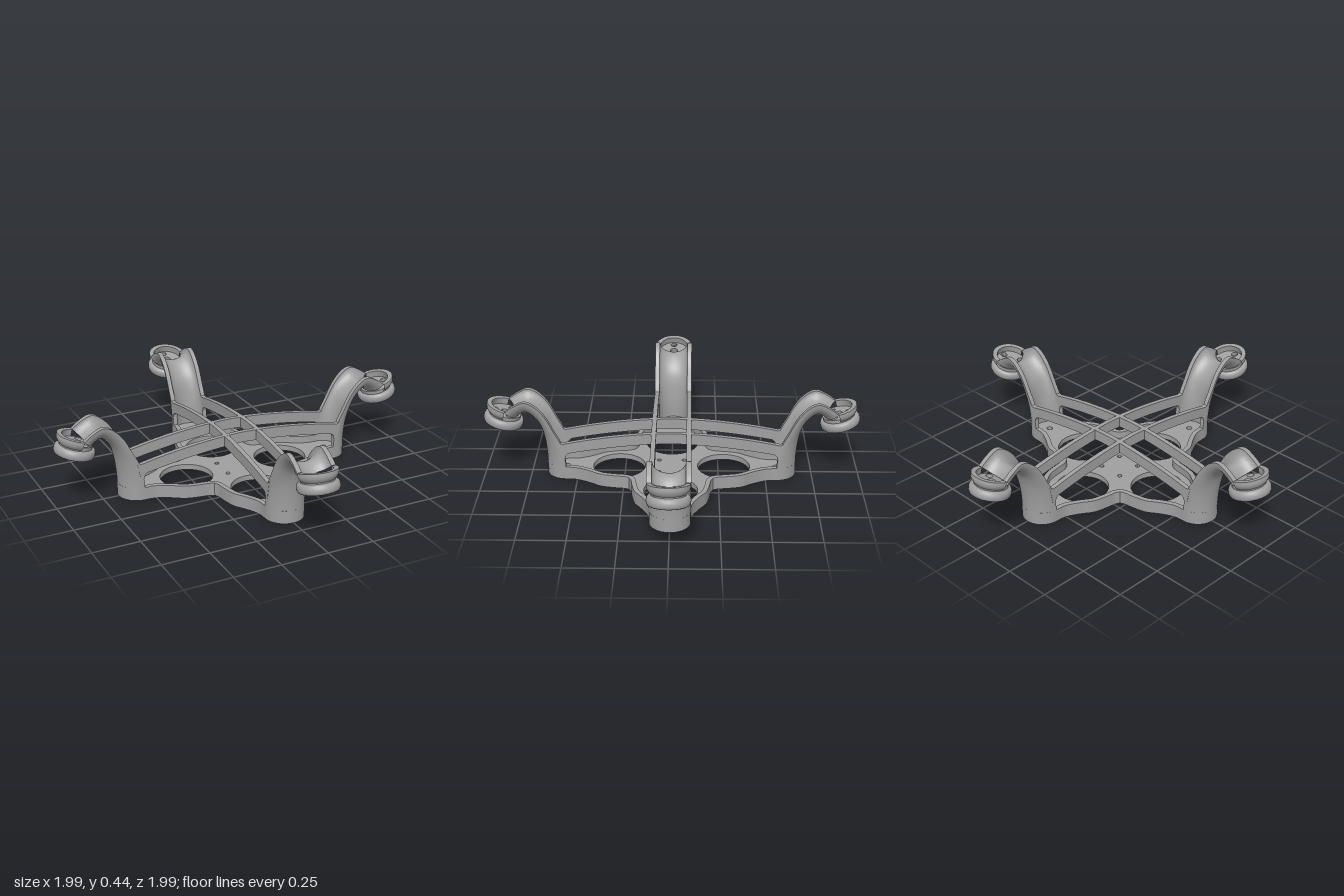
import * as THREE from 'three';
import { toCreasedNormals } from 'three/addons/utils/BufferGeometryUtils.js';

const grey = new THREE.MeshStandardMaterial({ color: 0xa0a0a0 });
grey.name = 'grey plastic';

const V2 = (x, y) => new THREE.Vector2(x, y);

function part(name, geometry, parent) {
  const mesh = new THREE.Mesh(toCreasedNormals(geometry, 0.6), grey);
  mesh.name = name;
  parent.add(mesh);
  return mesh;
}

function circleHole(x, y, r) {
  return new THREE.Path().absarc(x, y, r, 0, Math.PI * 2, true);
}

// Flat slab lying in the xz plane, growing upward from y = 0
function slab(shape, depth) {
  return new THREE.ExtrudeGeometry(shape, { depth, bevelEnabled: false, curveSegments: 40 }).rotateX(-Math.PI / 2);
}

// Four-lobed outline of the base, optionally moved inward
function baseOutline(inset) {
  const half = [];
  for (let i = 0; i <= 8; i++) {
    const a = (i / 8) * Math.PI / 2;
    half.push(V2(0.56 + 0.105 * Math.cos(a), 0.105 * Math.sin(a)));
  }
  const flank = new THREE.SplineCurve([V2(0.56, 0.105), V2(0.5, 0.111), V2(0.43, 0.145), V2(0.37, 0.183),
    V2(0.3, 0.2), V2(0.245, 0.208), V2(0.219, 0.219)]);
  half.push(...flank.getPoints(24).slice(1));
  const mirrored = half.slice(1, -1).reverse().map((p) => V2(p.y, p.x));
  const quarter = [...half, ...mirrored];
  const all = [];
  for (let k = 0; k < 4; k++) {
    quarter.forEach((p) => all.push(p.clone().rotateAround(V2(0, 0), k * Math.PI / 2)));
  }
  return all.map((p, i) => {
    const before = all[(i + all.length - 1) % all.length];
    const after = all[(i + 1) % all.length];
    const t = after.clone().sub(before).normalize();
    return V2(p.x - t.y * inset, p.y + t.x * inset);
  });
}

function buildBase(root) {
  const floor = new THREE.Shape(baseOutline(0.002));
  const rim = new THREE.Shape(baseOutline(0));
  rim.holes.push(new THREE.Path(baseOutline(0.025)));
  for (let k = 0; k < 4; k++) {
    const c = Math.round(Math.cos(k * Math.PI / 2));
    const s = Math.round(Math.sin(k * Math.PI / 2));
    floor.holes.push(circleHole(0.28 * c, 0.28 * s, 0.14));
    floor.holes.push(circleHole(0.56 * c, 0.56 * s, 0.016));
    floor.holes.push(circleHole(0.068 * (c - s), 0.068 * (c + s), 0.012));
  }
  part('basePlate', slab(floor, 0.03), root);
  part('baseRim', slab(rim, 0.07), root);
}

// U-shaped channel lofted along the arm: each section has a rail point and a belly point
function channelGeometry() {
  const sections = [
    [0.56, 0, 0.665, 0], [0.56, 0.1, 0.665, 0.1], [0.582, 0.2, 0.672, 0.18],
    [0.615, 0.267, 0.685, 0.25], [0.663, 0.358, 0.704, 0.298], [0.717, 0.417, 0.735, 0.335],
    [0.77, 0.438, 0.765, 0.354], [0.829, 0.412, 0.79, 0.347], [0.869, 0.383, 0.815, 0.325],
  ];
  const rails = new THREE.SplineCurve(sections.map((s) => V2(s[0], s[1])));
  const bellies = new THREE.SplineCurve(sections.map((s) => V2(s[2], s[3])));
  const rows = 48, arc = 20, ring = 2 * (arc + 1);
  const positions = [], index = [];
  for (let i = 0; i <= rows; i++) {
    const rail = rails.getPoint(i / rows);
    const dir = bellies.getPoint(i / rows).sub(rail);
    const depth = dir.length();
    dir.normalize();
    const add = (t, radius, d) => positions.push(
      rail.x + dir.x * d * Math.sin(t), rail.y + dir.y * d * Math.sin(t), radius * Math.cos(t));
    for (let j = 0; j <= arc; j++) add(j / arc * Math.PI, 0.105, depth);
    for (let j = arc; j >= 0; j--) add(j / arc * Math.PI, 0.08, depth - 0.025);
  }
  for (let i = 0; i < rows; i++) {
    for (let j = 0; j < ring; j++) {
      const a = i * ring + j, b = i * ring + (j + 1) % ring;
      index.push(a, b, a + ring, b, b + ring, a + ring);
    }
  }
  const g = new THREE.BufferGeometry();
  g.setAttribute('position', new THREE.Float32BufferAttribute(positions, 3));
  g.setIndex(index);
  return g;
}

// Half of an arched top beam, from the centre to the arm
function beamGeometry() {
  const s = new THREE.Shape();
  s.moveTo(0, 0.212);
  s.quadraticCurveTo(0.25, 0.205, 0.535, 0.152);
  s.quadraticCurveTo(0.56, 0.147, 0.56, 0.12);
  s.lineTo(0.58, 0.12);
  s.lineTo(0.6, 0.228);
  s.quadraticCurveTo(0.588, 0.198, 0.56, 0.206);
  s.quadraticCurveTo(0.28, 0.264, 0, 0.27);
  return new THREE.ExtrudeGeometry(s, { depth: 0.025, bevelEnabled: false, curveSegments: 16 });
}

// Tilted cup and ring at the end of the arm
function buildMount(arm) {
  const mount = new THREE.Group();
  mount.name = 'motorMount';
  mount.position.set(0.89, 0.305, 0);
  mount.rotation.z = THREE.MathUtils.degToRad(15);
  arm.add(mount);

  const disc = new THREE.Shape().absarc(0, 0, 0.084, 0, Math.PI * 2, false);
  disc.holes.push(circleHole(0, 0, 0.021));
  for (let k = 0; k < 3; k++) {
    const a = k * Math.PI * 2 / 3;
    disc.holes.push(circleHole(0.057 * Math.cos(a), 0.057 * Math.sin(a), 0.018));
    const spoke = part('mountSpoke', new THREE.BoxGeometry(0.05, 0.022, 0.012), mount);
    spoke.position.set(0.054 * Math.cos(a + Math.PI / 3), 0.012, -0.054 * Math.sin(a + Math.PI / 3));
    spoke.rotation.y = a + Math.PI / 3;
  }
  part('mountFloor', slab(disc, 0.025), mount).position.y = 0.02;

  const lathe = (pts, start, sweep) =>
    new THREE.LatheGeometry(pts.map(([r, y]) => V2(r, y)), sweep > 4 ? 48 : 24, start, sweep);
  part('cupWall', lathe([[0.082, 0.03], [0.093, 0.04], [0.102, 0.053], [0.105, 0.066], [0.105, 0.08],
    [0.08, 0.08], [0.08, 0.03]], 0, Math.PI), mount);
  part('mountRing', lathe([[0.074, -0.026], [0.091, -0.026], [0.1, -0.021], [0.105, -0.011], [0.106, 0],
    [0.105, 0.011], [0.1, 0.021], [0.091, 0.026], [0.072, 0.026], [0.072, -0.022], [0.074, -0.026]],
  0, Math.PI * 2), mount);
  part('mountHub', lathe([[0.021, 0], [0.032, 0], [0.032, 0.022], [0.021, 0.022], [0.021, 0]], 0, Math.PI * 2), mount);
}

export function createModel() {
  const root = new THREE.Group();
  root.name = 'fourArmFrame';
  buildBase(root);
  for (let k = 0; k < 4; k++) {
    const arm = new THREE.Group();
    arm.name = 'arm' + (k + 1);
    arm.rotation.y = k * Math.PI / 2;
    root.add(arm);
    part('armChannel', channelGeometry(), arm);
    for (const z of [0.08, -0.105]) part('topBeam', beamGeometry(), arm).position.z = z;
    buildMount(arm);
  }
  return root;
}
